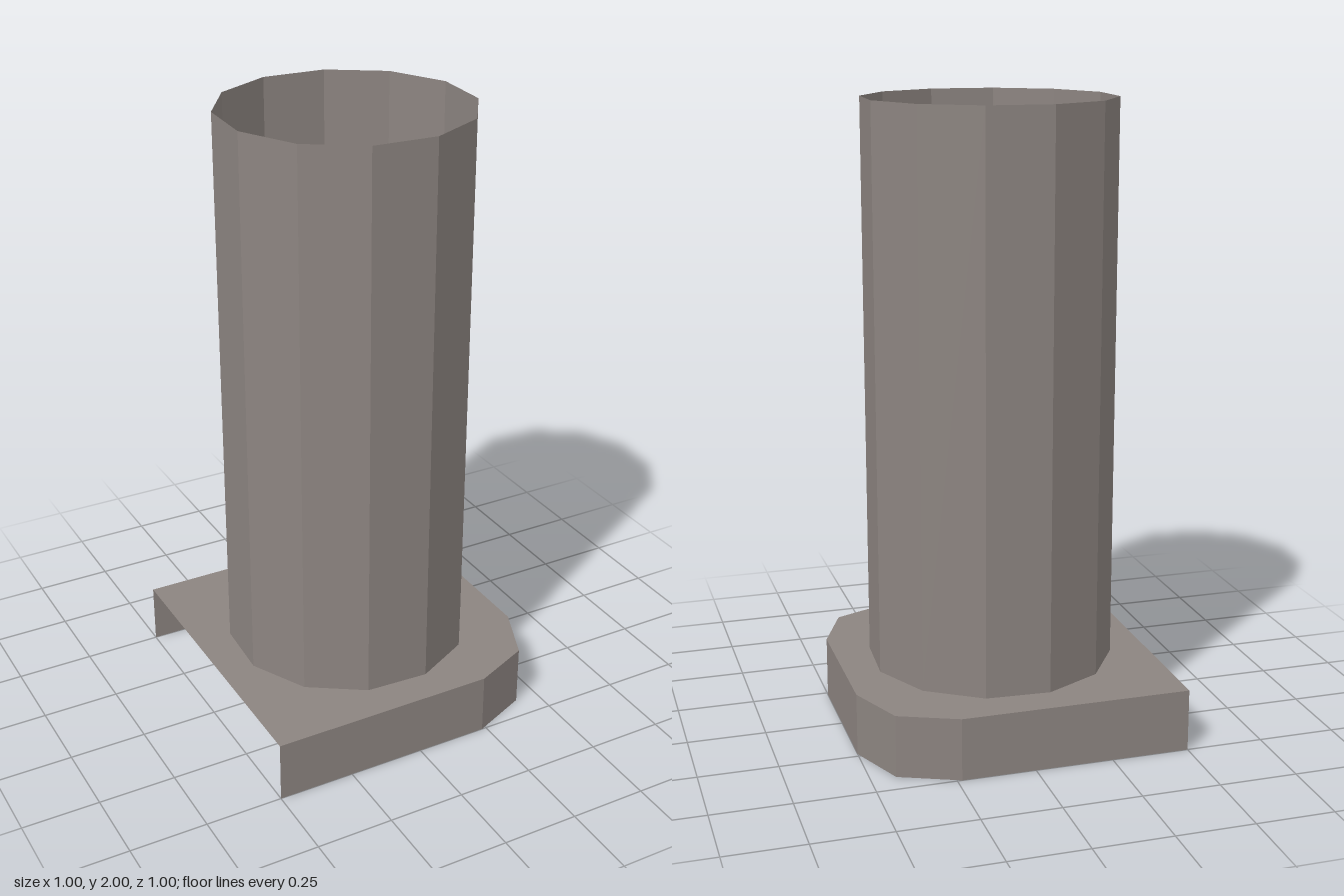
import * as THREE from 'three';

const SIDES = 12;
const RADIUS = 0.397;
const TWIST = THREE.MathUtils.degToRad(11.8);
const BASE_HEIGHT = 0.2;
const HEIGHT = 2;

// Base outline as (x, z), running from one open-side corner to the other
const HALF_OUTLINE = [[-0.5, 0.5], [0.235, 0.5], [0.421, 0.421], [0.5, 0.235]];
const OUTLINE = [
  ...HALF_OUTLINE,
  ...HALF_OUTLINE.map(([x, z]) => [x, -z]).reverse(),
];

// Upright walls below the outline, left open between its two ends
function skirtGeometry() {
  const positions = [];
  for (let i = 0; i < OUTLINE.length - 1; i++) {
    const [ax, az] = OUTLINE[i];
    const [bx, bz] = OUTLINE[i + 1];
    const h = BASE_HEIGHT;
    positions.push(ax, 0, az, bx, 0, bz, bx, h, bz);
    positions.push(ax, 0, az, bx, h, bz, ax, h, az);
  }
  const geometry = new THREE.BufferGeometry();
  geometry.setAttribute('position', new THREE.Float32BufferAttribute(positions, 3));
  geometry.computeVertexNormals();
  return geometry;
}

// Flat plate with a hole matching the tube
function plateGeometry() {
  const shape = new THREE.Shape(OUTLINE.map(([x, z]) => new THREE.Vector2(x, -z)));
  const hole = [];
  for (let i = 0; i < SIDES; i++) {
    const a = TWIST + (i / SIDES) * Math.PI * 2;
    hole.push(new THREE.Vector2(RADIUS * Math.sin(a), -RADIUS * Math.cos(a)));
  }
  shape.holes.push(new THREE.Path(hole));
  return new THREE.ShapeGeometry(shape).rotateX(-Math.PI / 2).translate(0, BASE_HEIGHT, 0);
}

export function createModel() {
  const stone = new THREE.MeshStandardMaterial({
    color: 0x8c8480,
    flatShading: true,
    side: THREE.DoubleSide,
  });
  stone.name = 'warm grey';

  const model = new THREE.Group();
  model.name = 'chimneyPipe';
  const add = (name, geometry) => {
    const mesh = new THREE.Mesh(geometry, stone);
    mesh.name = name;
    model.add(mesh);
  };

  // Open-ended tube standing on the plate
  const length = HEIGHT - BASE_HEIGHT;
  const tube = new THREE.CylinderGeometry(RADIUS, RADIUS, length, SIDES, 1, true, TWIST);
  add('tube', tube.translate(0, BASE_HEIGHT + length / 2, 0));
  add('basePlate', plateGeometry());
  add('baseSkirt', skirtGeometry());
  return model;
}
